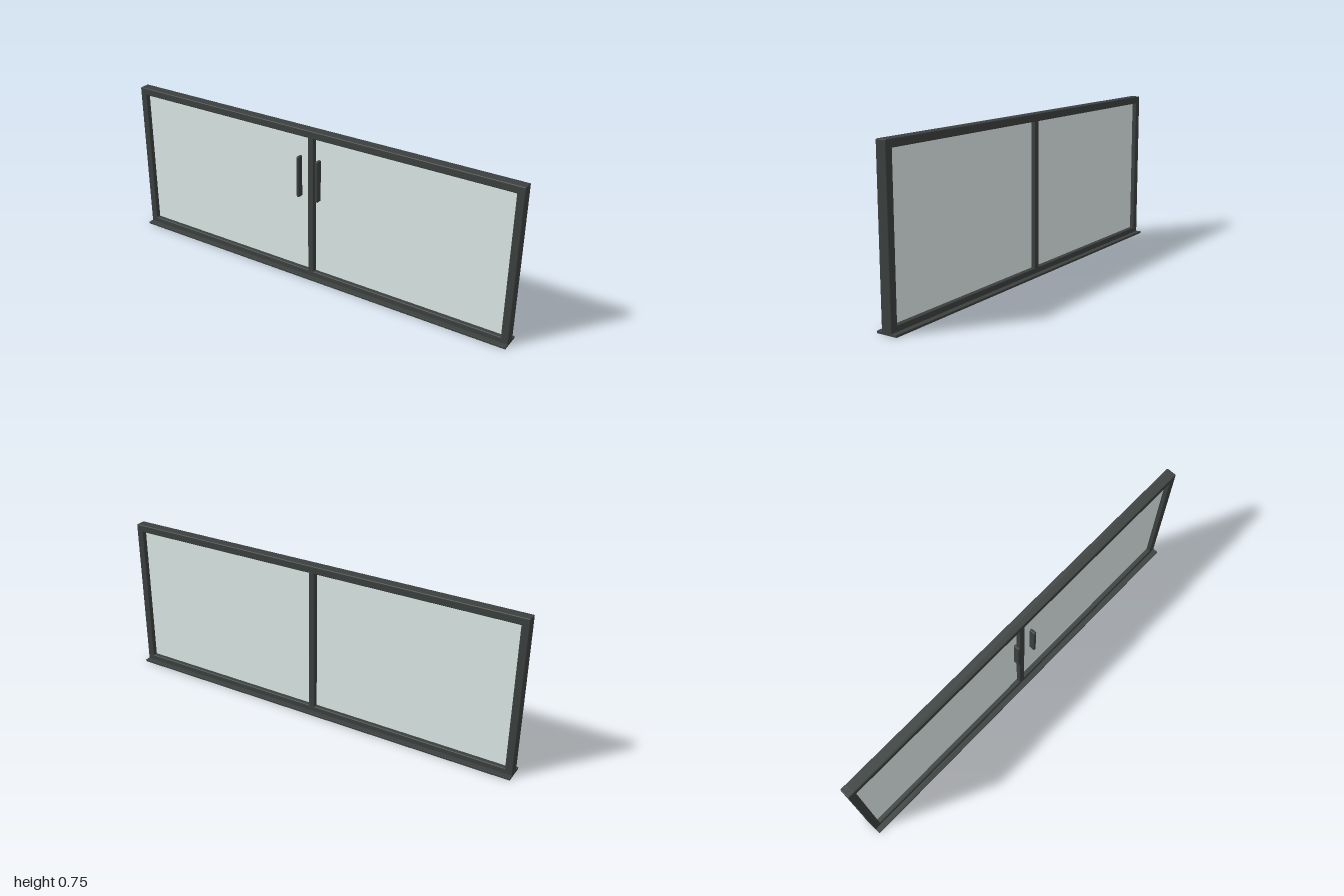
import * as THREE from 'three';
import { RoundedBoxGeometry } from 'three/addons/geometries/RoundedBoxGeometry.js';

export function createModel() {
  const model = new THREE.Group();
  model.name = 'doubleDoorPanel';
  const metal = new THREE.MeshStandardMaterial({ color: 0x3b403e });
  const glass = new THREE.MeshStandardMaterial({ color: 0xdfebe8 });

  const Z = -0.0025;       // centre plane of the frame
  const DEPTH = 0.05;      // frame depth
  const H = 0.75, BAR = 0.035, MULLION = 0.03;
  const FOOT = 0.002;      // frame bars start inside the sill

  // Softly rounded bar given by its bounds in x and y and its centre and depth in z
  function bar(name, x0, x1, y0, y1, z, depth, radius) {
    const geometry = new RoundedBoxGeometry(x1 - x0, y1 - y0, depth, 2, radius);
    const mesh = new THREE.Mesh(geometry, metal);
    mesh.name = name;
    mesh.position.set((x0 + x1) / 2, (y0 + y1) / 2, z);
    model.add(mesh);
  }

  // Floor sill and frame
  bar('sill', -1, 1, 0, 0.01, Z, 0.1, 0.001);
  bar('topRail', -1, 1, H - BAR, H, Z, DEPTH, 0.004);
  bar('bottomRail', -1, 1, FOOT, BAR, Z, DEPTH, 0.004);
  bar('centrePost', -MULLION / 2, MULLION / 2, BAR - 0.005, H - BAR + 0.005, Z, DEPTH, 0.004);

  for (const side of [-1, 1]) {
    const label = side > 0 ? 'left' : 'right';
    const outer = side * (1 - BAR / 2);
    bar(label + 'Stile', outer - BAR / 2, outer + BAR / 2, FOOT, H, Z, DEPTH, 0.004);

    // Pull handle on the front
    bar(label + 'Handle', side * 0.05 - 0.007, side * 0.05 + 0.007, 0.425, 0.625, 0.0375, 0.03, 0.004);

    // Glass pane, tucked slightly into the frame
    const x0 = MULLION / 2 - 0.005, x1 = 1 - BAR + 0.005;
    const y0 = BAR - 0.005, y1 = H - BAR + 0.005;
    const pane = new THREE.Mesh(new THREE.BoxGeometry(x1 - x0, y1 - y0, 0.006), glass);
    pane.name = label + 'Glass';
    pane.position.set(side * (x0 + x1) / 2, (y0 + y1) / 2, Z);
    model.add(pane);
  }
  return model;
}
